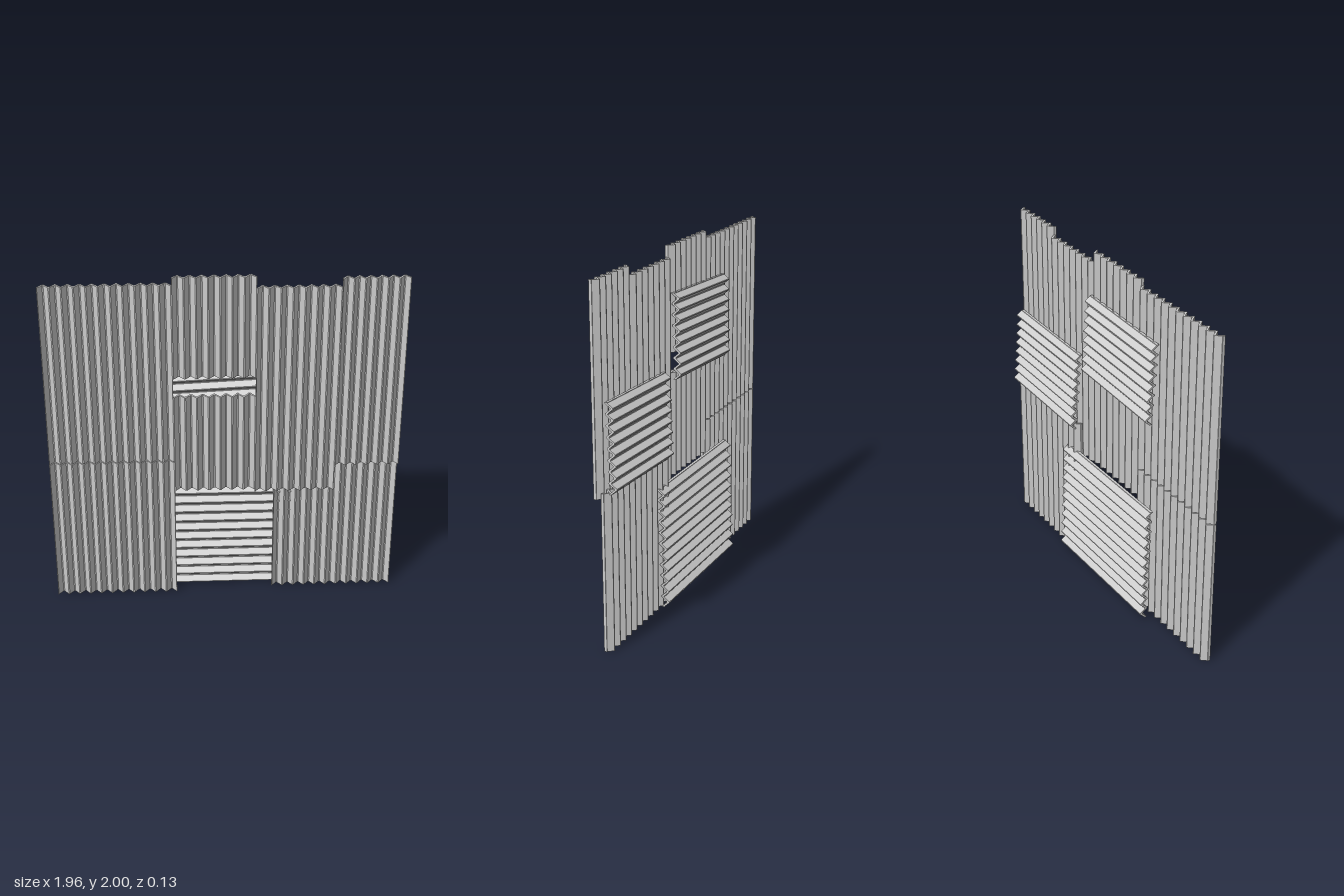
import * as THREE from 'three';

const material = new THREE.MeshStandardMaterial({ color: 0xcccccc, flatShading: true, side: THREE.DoubleSide });
const DEPTH = 0.03;      // wave height of the sheet's middle line
const THICK = 0.016;     // sheet thickness, measured through the wave

// Corrugated sheet centred on the origin: waves run across x, ridges run along y
function corrugated(across, along, waves) {
  const line = [];
  const pitch = across / waves;
  const flat = pitch * 0.05;
  for (let i = 0; i <= waves; i++) {
    const u = -across / 2 + i * pitch;
    if (i > 0) line.push([u - flat, DEPTH / 2]);
    else line.push([u, DEPTH / 2]);
    if (i < waves) {
      line.push([u + flat, DEPTH / 2]);
      line.push([u + pitch / 2 - flat, -DEPTH / 2], [u + pitch / 2 + flat, -DEPTH / 2]);
    } else line.push([u, DEPTH / 2]);
  }
  const front = line.map(([u, w]) => new THREE.Vector2(u, -w - THICK / 2));
  const back = line.map(([u, w]) => new THREE.Vector2(u, -w + THICK / 2)).reverse();
  const geometry = new THREE.ExtrudeGeometry(new THREE.Shape([...front, ...back]), { depth: along, bevelEnabled: false });
  geometry.rotateX(-Math.PI / 2);
  geometry.translate(0, -along / 2, 0);
  return geometry;
}

export function createModel() {
  const model = new THREE.Group();
  const add = (name, geometry, x, y, z) => {
    const mesh = new THREE.Mesh(geometry, material);
    mesh.name = name;
    mesh.position.set(x, y, z);
    model.add(mesh);
    return mesh;
  };

  // Wall sheets with upright ridges: name, x range, y range, z, waves
  const walls = [
    ['upperRightWall', -0.98, -0.28, 0.89, 1.96, 0.035, 11],
    ['lowerRightWall', -0.98, -0.28, 0, 0.885, 0.035, 11],
    ['wallAboveWindow', -0.28, 0.17, 1.41, 2.0, 0.035, 7],
    ['wallBelowWindow', -0.28, 0.17, 0.7, 1.295, 0.035, 7],
    ['upperMiddleWall', 0.17, 0.62, 0.685, 1.935, 0.035, 7],
    ['upperLeftWall', 0.62, 0.98, 0.85, 1.985, 0.042, 6],
    ['lowerLeftWall', 0.28, 0.98, 0, 0.89, 0.0, 11],
  ];
  for (const [name, x0, x1, y0, y1, z, waves] of walls) {
    add(name, corrugated(x1 - x0, y1 - y0, waves), (x0 + x1) / 2, (y0 + y1) / 2, z);
  }

  // Leaning sheets behind the wall, ridges lying level: centre, size, waves, lean, yaw, roll
  const covers = [
    ['doorCover', -0.04, 0.357, -0.034, 0.88, 0.7, 11, 0.04, 0, 0],
    ['windowCover', -0.145, 1.494, -0.012, 0.65, 0.475, 8, 0.045, 0, 0.045],
    ['leftWallPatch', 0.62, 1.11, -0.02, 0.66, 0.48, 8, 0.06, 0.012, 0.04],
  ];
  for (const [name, x, y, z, width, height, waves, lean, yaw, roll] of covers) {
    const geometry = corrugated(height, width, waves).rotateZ(Math.PI / 2);
    add(name, geometry, x, y, z).rotation.set(lean, yaw, roll);
  }
  return model;
}
